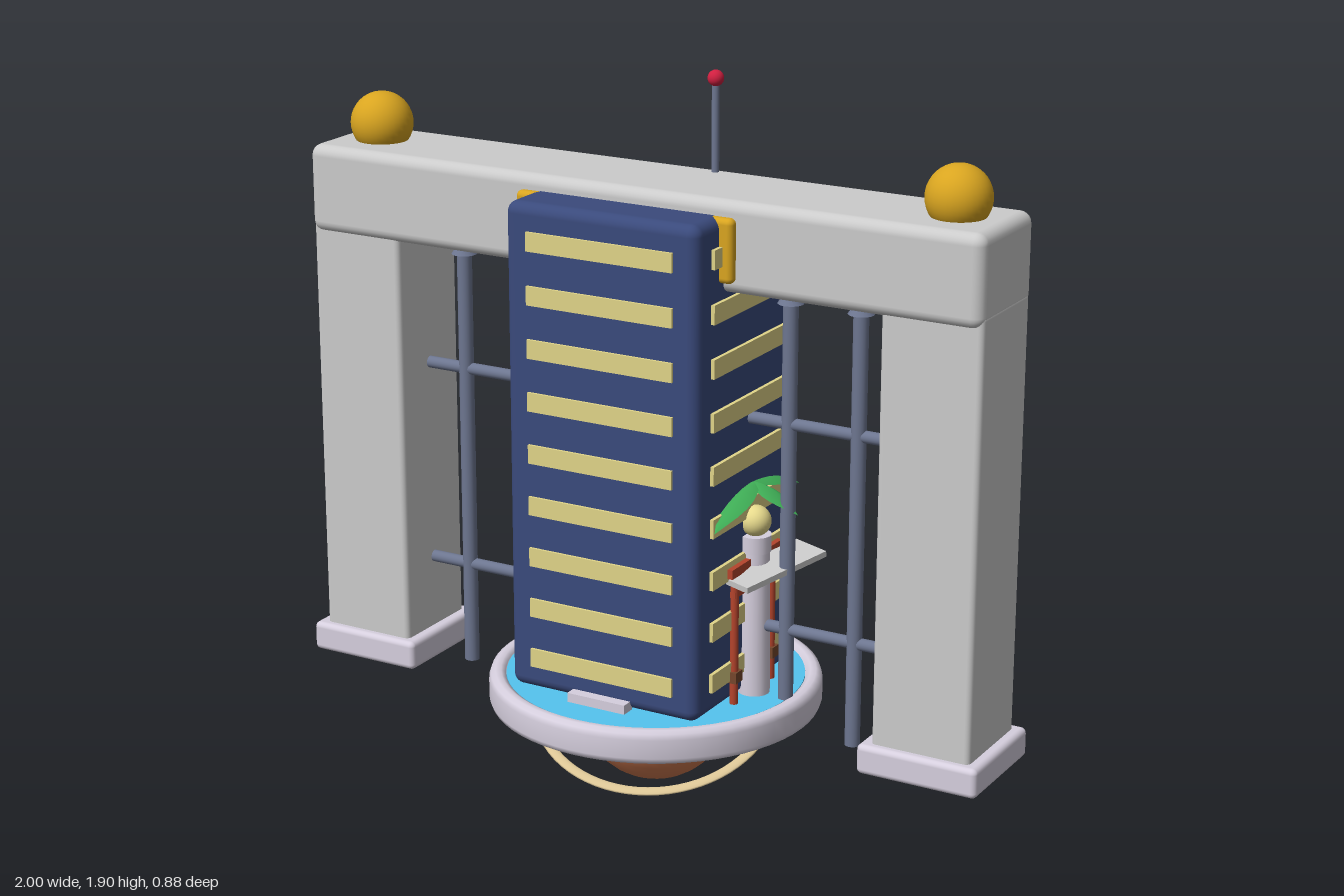
import * as THREE from 'three';
import { RoundedBoxGeometry } from 'three/addons/geometries/RoundedBoxGeometry.js';

const mat = (color) => new THREE.MeshStandardMaterial({ color });
const grey = mat(0xcccccc), pale = mat(0xd6cfde), navy = mat(0x3a4a7c), pane = mat(0xe0d488);
const gold = mat(0xd9a520), steel = mat(0x6d7690), red = mat(0xd01f40), water = mat(0x55c4f0);
const rust = mat(0xd07a50), tan = mat(0xdcc696), cream = mat(0xe6d98c), brick = mat(0xb5442c), brown = mat(0x75472c);
const green = new THREE.MeshStandardMaterial({ color: 0x3fae56, side: THREE.DoubleSide });

export function createModel() {
  const root = new THREE.Group();
  const add = (name, geo, m, x, y, z, parent = root) => {
    const mesh = new THREE.Mesh(geo, m);
    mesh.name = name;
    mesh.position.set(x, y, z);
    parent.add(mesh);
    return mesh;
  };
  const box = (w, h, d) => new THREE.BoxGeometry(w, h, d);
  const round = (w, h, d, r) => new RoundedBoxGeometry(w, h, d, 3, r);
  const ball = (r) => new THREE.SphereGeometry(r, 32, 20);
  const rod = (r, h, r2 = r) => new THREE.CylinderGeometry(r2, r, h, 20);

  // Gate: two pillars on plinths, a beam and golden balls
  add('beam', round(1.94, 0.235, 0.3, 0.03), grey, 0, 1.522, 0);
  for (const s of [-1, 1]) {
    add('pillar', round(0.27, 1.2, 0.272, 0.015), grey, s * 0.835, 0.84, 0);
    add('plinth', round(0.33, 0.08, 0.32, 0.015), pale, s * 0.835, 0.25, 0);
    add('goldBall', ball(0.083), gold, s * 0.835, 1.685, 0);

    // Railings between pillar and tower
    for (const x of [0.388, 0.583]) {
      add('railPost', rod(0.02, 1.17), steel, s * x, 0.795, 0);
      add('railSpike', new THREE.ConeGeometry(0.034, 0.05, 20), steel, s * x, 1.385, 0);
    }
    for (const y of [0.49, 1.045])
      add('railBar', rod(0.016, 0.45), steel, s * 0.485, y, 0).rotation.z = Math.PI / 2;
  }

  // Tower with rows of lit windows on all four sides
  const tower = new THREE.Group();
  tower.name = 'tower';
  root.add(tower);
  add('towerBody', round(0.555, 1.3, 0.56, 0.03), navy, 0, 0.95, 0, tower);
  for (let i = 0; i < 9; i++) {
    const y = 0.39 + i * 0.1393;
    add('windowsFrontBack', box(0.42, 0.05, 0.575), pane, 0, y, 0, tower);
    add('windowsSides', box(0.575, 0.05, 0.42), pane, 0, y, 0, tower);
  }
  for (const s of [-1, 1]) add('doorStep', box(0.17, 0.025, 0.04), pale, 0, 0.313, s * 0.29, tower);
  add('goldPlaque', round(0.625, 0.165, 0.035, 0.015), gold, 0, 1.517, 0.155);

  // Antenna
  add('antenna', rod(0.01, 0.3), steel, 0.11, 1.73, -0.11);
  add('antennaTip', ball(0.021), red, 0.11, 1.88, -0.11);

  // Round basin with water
  const rim = [[0, 0.215], [0.425, 0.215], [0.437, 0.222], [0.442, 0.235], [0.442, 0.285],
    [0.437, 0.3], [0.425, 0.307], [0.41, 0.307], [0.398, 0.3], [0.395, 0.285], [0, 0.285]]
    .map(([x, y]) => new THREE.Vector2(x, y));
  add('basin', new THREE.LatheGeometry(rim, 64), pale, 0, 0, 0);
  add('water', new THREE.CylinderGeometry(0.396, 0.396, 0.01, 64), water, 0, 0.294, 0);

  // Planet below, with two moons and a tilted ring
  add('planet', ball(0.205), rust, 0, 0.205, 0);
  for (const s of [-1, 1]) add('moon', ball(0.115), grey, s * 0.157, 0.215, -0.03);
  const ringGeo = new THREE.TorusGeometry(0.316, 0.014, 10, 72).rotateX(Math.PI / 2).scale(1, 0.35, 1);
  const ring = add('planetRing', ringGeo, tan, 0, 0.212, 0);
  ring.quaternion.setFromUnitVectors(new THREE.Vector3(0, 1, 0), new THREE.Vector3(0.17, 1, 0.46).normalize());

  // Side entrances: column with lamp and a brick-red frame
  for (const s of [-1, 1]) {
    const x = s * 0.295;
    add('column', rod(0.042, 0.4, 0.038), pale, x, 0.49, 0);
    add('columnCap', rod(0.042, 0.045), pale, x, 0.712, 0);
    add('lamp', ball(0.041), cream, x, 0.77, 0);
    add('frameLintel', box(0.025, 0.025, 0.27), brick, s * 0.29, 0.665, 0);
    add('frameTie', box(0.016, 0.016, 0.22), brick, s * 0.29, 0.6, 0);
    for (const z of [-0.1, 0.1]) {
      add('framePost', rod(0.011, 0.37), brick, s * 0.29, 0.48, z);
      add('frameFoot', box(0.03, 0.03, 0.035), brown, s * 0.29, 0.375, z);
    }
  }

  // Tilted shelf on the left side
  const shelf = add('shelf', box(0.11, 0.016, 0.28), grey, 0.345, 0.655, 0);
  shelf.rotation.set(0.12, -0.32, 0);

  // Palm leaves: tapered, folded and drooping strips
  const leaf = new THREE.PlaneGeometry(0.07, 0.23, 2, 6).rotateX(-Math.PI / 2).translate(0, 0, 0.115);
  const p = leaf.attributes.position;
  for (let i = 0; i < p.count; i++) {
    const t = p.getZ(i) / 0.23, w = Math.sin(Math.PI * (0.15 + 0.85 * t));
    const x = p.getX(i) * w;
    p.setXYZ(i, x, -0.07 * t * t - Math.abs(x) * 0.5, p.getZ(i));
  }
  leaf.computeVertexNormals();
  [[0.05, 1], [1.57, 0.55], [3.09, 1]].forEach(([turn, len]) => {
    const frond = add('palmLeaf', leaf, green, 0.29, 0.875, 0);
    frond.rotation.y = turn;
    frond.scale.z = len;
  });

  return root;
}
